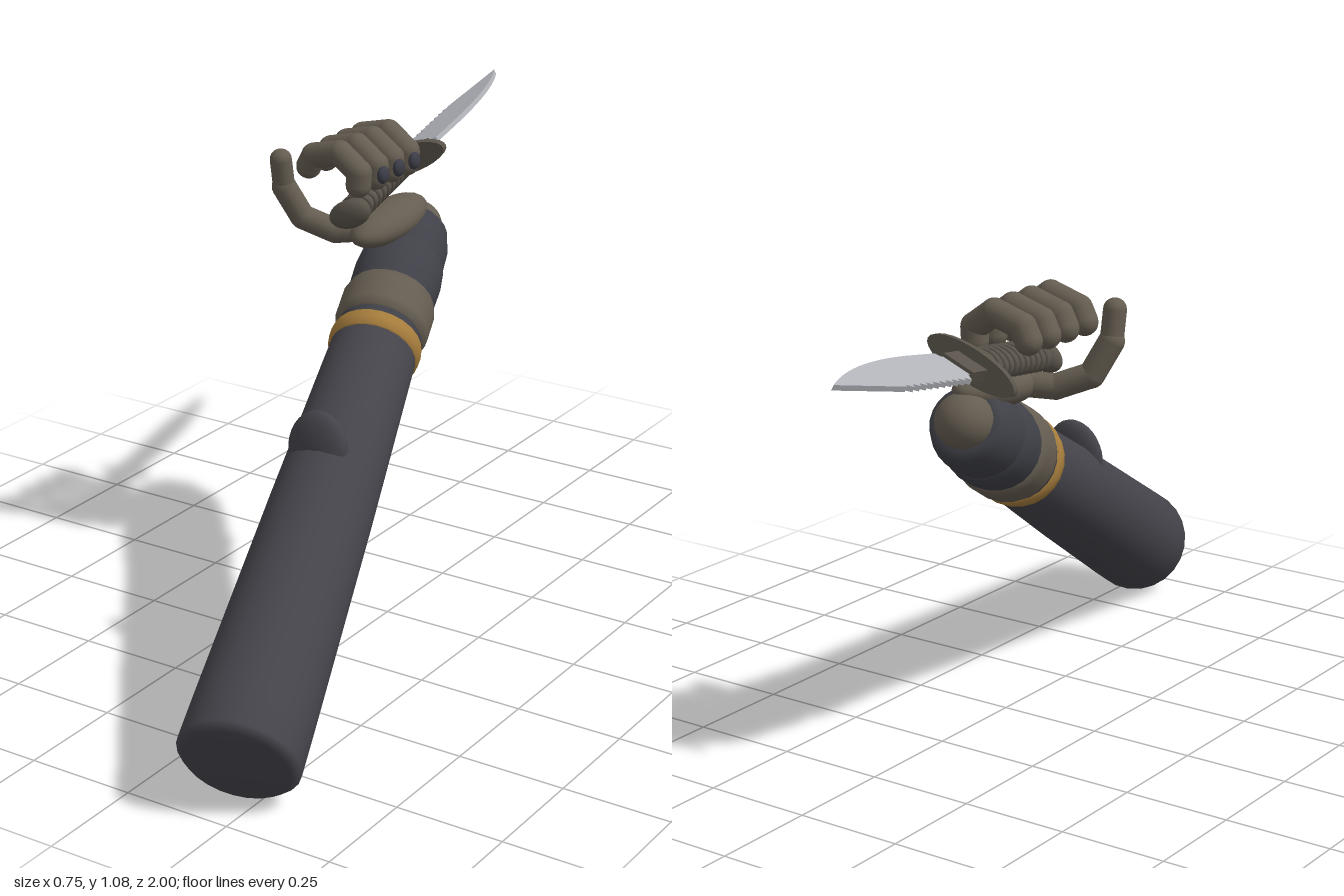
import * as THREE from 'three';

const mat = (name, color, side = THREE.FrontSide) => {
  const m = new THREE.MeshStandardMaterial({ color, side });
  m.name = name;
  return m;
};
const V = (x, y, z) => new THREE.Vector3(x, y, z);

export function createModel() {
  const sleeveCloth = mat('sleeveCloth', 0x44434a);
  const cuffCloth = mat('cuffCloth', 0x404148);
  const glove = mat('glove', 0x655d51);
  const gold = mat('gold', 0xa57c3c);
  const steel = mat('steel', 0xb0b2b8, THREE.DoubleSide);
  const grip = mat('grip', 0x59534a);
  const studMetal = mat('studMetal', 0x3c3d47);

  const model = new THREE.Group();
  const add = (parent, name, geo, material, pos) => {
    const m = new THREE.Mesh(geo, material);
    m.name = name;
    if (pos) m.position.copy(pos);
    parent.add(m);
    return m;
  };
  const ellipsoid = (parent, name, material, pos, rx, ry, rz) => {
    const m = add(parent, name, new THREE.SphereGeometry(1, 24, 16), material, pos);
    m.scale.set(rx, ry, rz);
    return m;
  };

  // Forearm: lathed parts along one axis, +y of the group points to the wrist
  const arm = new THREE.Group();
  arm.name = 'forearm';
  arm.position.set(-0.07, 0.64, -0.055);
  arm.quaternion.setFromUnitVectors(V(0, 1, 0), V(-0.31, 0.523, -1).normalize());
  model.add(arm);
  const lathe = (name, material, profile) => add(arm, name,
    new THREE.LatheGeometry(profile.map(([r, t]) => new THREE.Vector2(r, t)), 24), material);

  lathe('sleeve', sleeveCloth,
    [[0, -1.172], [0.115, -1.172], [0.133, -1.155], [0.131, -1.05], [0.117, -0.5], [0.101, -0.02], [0, -0.02]]);
  lathe('goldBand', gold,
    [[0.095, -0.024], [0.106, -0.022], [0.109, 0], [0.106, 0.02], [0.095, 0.022]]);
  lathe('cuffGap', cuffCloth, [[0.1, 0.015], [0.101, 0.05]]);
  lathe('cuffBand', glove,
    [[0.09, 0.04], [0.105, 0.042], [0.111, 0.065], [0.111, 0.13], [0.104, 0.152], [0.09, 0.154]]);
  lathe('wristCuff', cuffCloth,
    [[0.1, 0.14], [0.1, 0.175], [0.104, 0.18], [0.105, 0.22], [0.1, 0.27], [0.088, 0.272]]);
  lathe('wristSleeve', cuffCloth,
    [[0.093, 0.26], [0.097, 0.285], [0.095, 0.34], [0.082, 0.39], [0.064, 0.41], [0, 0.41]]);

  // Raised tab on top of the sleeve
  const tab = ellipsoid(model, 'sleeveTab', sleeveCloth, V(0.027, 0.54, 0.325), 0.076, 0.09, 0.034);
  tab.rotation.x = -0.12;

  // Hand
  const hand = new THREE.Group();
  hand.name = 'hand';
  model.add(hand);
  ellipsoid(hand, 'wristBall', glove, V(-0.175, 0.823, -0.395), 0.066, 0.062, 0.066);
  const palm = ellipsoid(hand, 'palm', glove, V(-0.168, 0.872, -0.27), 0.062, 0.046, 0.14);
  palm.rotation.x = 0.1;

  // Rounded segments joined by spheres
  const chain = (name, points, r) => {
    const g = new THREE.Group();
    g.name = name;
    points.forEach((p, i) => {
      add(g, 'joint', new THREE.SphereGeometry(r, 16, 12), glove, p);
      if (!i) return;
      const d = p.clone().sub(points[i - 1]);
      const s = add(g, 'segment', new THREE.CylinderGeometry(r, r, d.length(), 16, 1, true), glove,
        p.clone().add(points[i - 1]).multiplyScalar(0.5));
      s.quaternion.setFromUnitVectors(V(0, 1, 0), d.normalize());
    });
    hand.add(g);
  };

  // Four curled fingers, each with a knuckle stud
  [-0.145, -0.217, -0.285, -0.353].forEach((z, i) => {
    chain('finger' + (i + 1), [
      V(-0.172, 0.99, z), V(-0.17, 1.02, z), V(-0.222, 1.058, z),
      V(-0.3, 1.038, z - 0.008), V(-0.316, 1.01, z - 0.01),
    ], 0.03);
    if (i) ellipsoid(hand, 'knuckleStud', studMetal, V(-0.143, 1.003, z + 0.012), 0.012, 0.021, 0.019);
  });

  // Thumb, hooked upwards
  chain('thumb', [
    V(-0.19, 0.865, -0.2), V(-0.25, 0.86, -0.165), V(-0.322, 0.89, -0.135),
    V(-0.356, 0.965, -0.11),
  ], 0.029);
  chain('thumbTip', [V(-0.356, 0.965, -0.11), V(-0.357, 1.032, -0.1)], 0.026);

  // Knife: local -z runs to the tip, local x is the blade width
  const knife = new THREE.Group();
  knife.name = 'knife';
  const back = V(0.14, -0.15, 1).normalize();
  const up = back.clone().cross(V(0.91, 0.41, -0.066)).normalize();
  const side = up.clone().cross(back);
  knife.quaternion.setFromRotationMatrix(new THREE.Matrix4().makeBasis(side, up, back));
  knife.position.set(-0.235, 0.965, -0.45);
  model.add(knife);

  // Blade outline with a saw edge
  const blade = new THREE.Shape();
  blade.moveTo(0.034, 0.03);
  blade.lineTo(0.038, 0.08);
  blade.lineTo(0.051, 0.085);
  blade.lineTo(0.058, 0.2);
  blade.quadraticCurveTo(0.066, 0.41, 0.004, 0.558);
  blade.lineTo(-0.038, 0.34);
  const teeth = 10;
  for (let i = 0; i < teeth; i++) {
    const s = 0.34 - i * 0.025;
    blade.lineTo(-0.032 - i * 0.001, s - 0.005);
    blade.lineTo(-0.043 - i * 0.001, s - 0.022);
  }
  blade.lineTo(-0.034, 0.08);
  blade.lineTo(-0.034, 0.03);
  const bladeGeo = new THREE.ExtrudeGeometry(blade, { depth: 0.012, bevelEnabled: false, curveSegments: 12 });
  bladeGeo.translate(0, 0, -0.006).rotateX(-Math.PI / 2);
  add(knife, 'blade', bladeGeo, steel);

  // Collar, guard, ribbed handle and pommel
  add(knife, 'collar', new THREE.BoxGeometry(0.078, 0.026, 0.075), grip, V(0, 0, -0.035));
  const guard = add(knife, 'guard', new THREE.CylinderGeometry(1, 1, 0.018, 28), grip);
  guard.rotation.x = Math.PI / 2;
  guard.scale.set(0.114, 1, 0.036);
  const core = add(knife, 'handle', new THREE.CylinderGeometry(1, 1, 0.31, 20), grip, V(0, 0, 0.16));
  core.rotation.x = Math.PI / 2;
  core.scale.set(0.038, 1, 0.027);
  for (let i = 0; i < 11; i++) {
    const rib = add(knife, 'handleRib', new THREE.TorusGeometry(0.038, 0.007, 8, 20), grip, V(0, 0, 0.03 + i * 0.025));
    rib.scale.y = 0.72;
  }
  ellipsoid(knife, 'pommel', grip, V(0, 0, 0.318), 0.056, 0.034, 0.026);

  return model;
}
